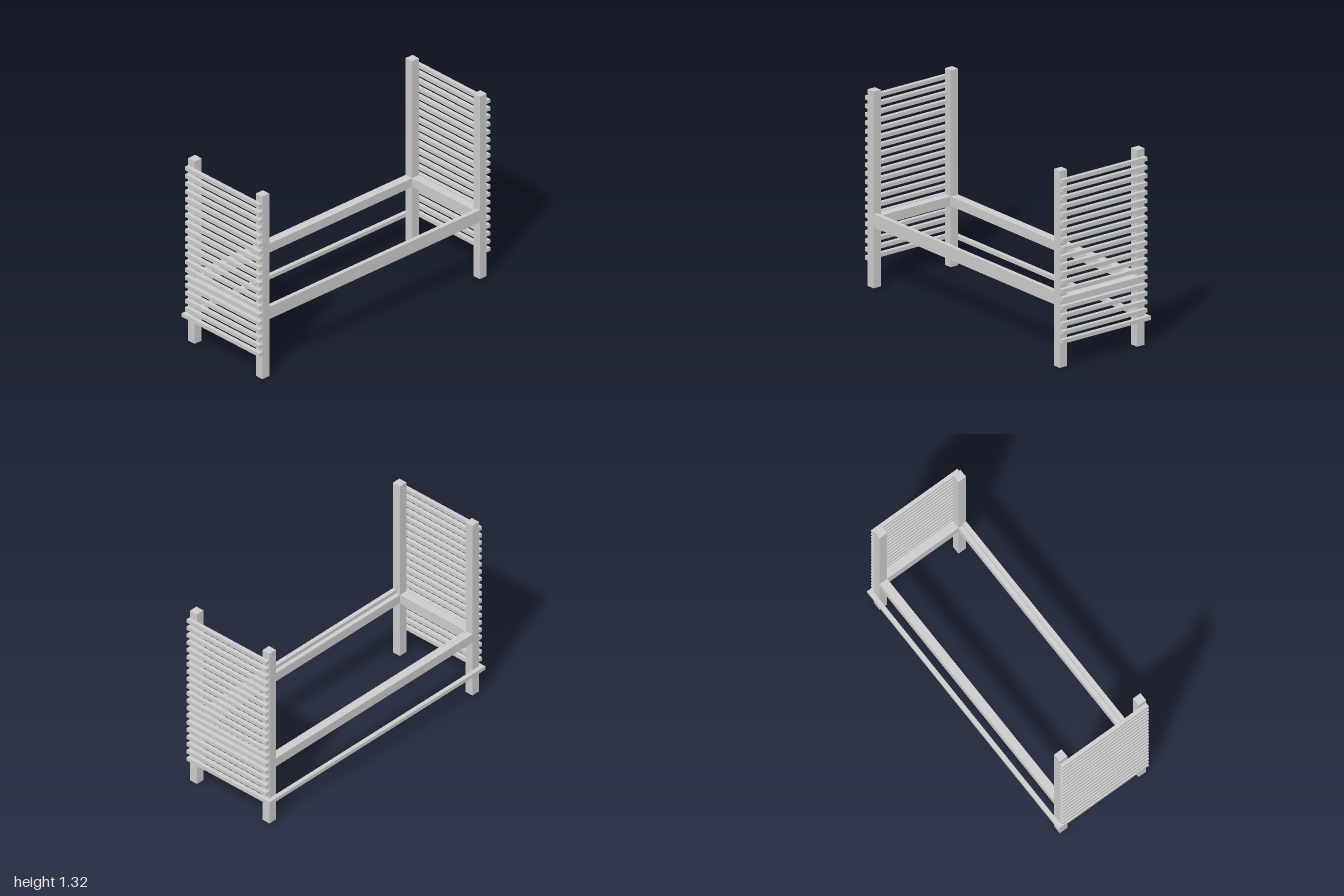
import * as THREE from 'three';

const material = new THREE.MeshStandardMaterial({ color: 0xcccccc, flatShading: true });

// Box given by its minimum and maximum along each axis
function bar(name, [x0, x1], [y0, y1], [z0, z1]) {
  const mesh = new THREE.Mesh(new THREE.BoxGeometry(x1 - x0, y1 - y0, z1 - z0), material);
  mesh.name = name;
  mesh.position.set((x0 + x1) / 2, (y0 + y1) / 2, (z0 + z1) / 2);
  return mesh;
}

export function createModel() {
  const model = new THREE.Group();
  model.name = 'slattedBedFrame';

  const frontZ = [0.297, 0.357], backZ = [-0.327, -0.267];
  const railY = [0.411, 0.475];
  const slatHeight = 0.026, slatPitch = 0.0565, slatBase = 0.17, slatCount = 20;

  // End panels: two posts, a cross rail and a ladder of outer slats
  const ends = [
    { name: 'left', post: [0.909, 0.969], slat: [0.972, 1] },
    { name: 'right', post: [-0.972, -0.912], slat: [-1, -0.972] },
  ];
  for (const { name, post, slat } of ends) {
    const end = new THREE.Group();
    end.name = `${name}EndPanel`;
    end.add(bar('frontPost', post, [0, 1.32], frontZ));
    end.add(bar('backPost', post, [0, 1.32], backZ));
    end.add(bar('endRail', post, railY, [backZ[1], frontZ[0]]));
    for (let i = 0; i < slatCount; i++) {
      const y = slatBase + i * slatPitch;
      end.add(bar('slat', slat, [y, y + slatHeight], [backZ[0], frontZ[1]]));
    }
    model.add(end);
  }

  // Long rails between the posts; the front one carries a taller face board
  const span = [-0.912, 0.909];
  model.add(bar('backRail', span, railY, backZ));
  model.add(bar('frontRail', span, railY, [frontZ[0], 0.327]));
  model.add(bar('frontBoard', span, [0.411, 0.5], [0.327, frontZ[1]]));

  // Thin low stretcher across the back
  model.add(bar('backStretcher', [-1, 1], [slatBase, slatBase + slatHeight], [-0.357, backZ[0]]));

  return model;
}
